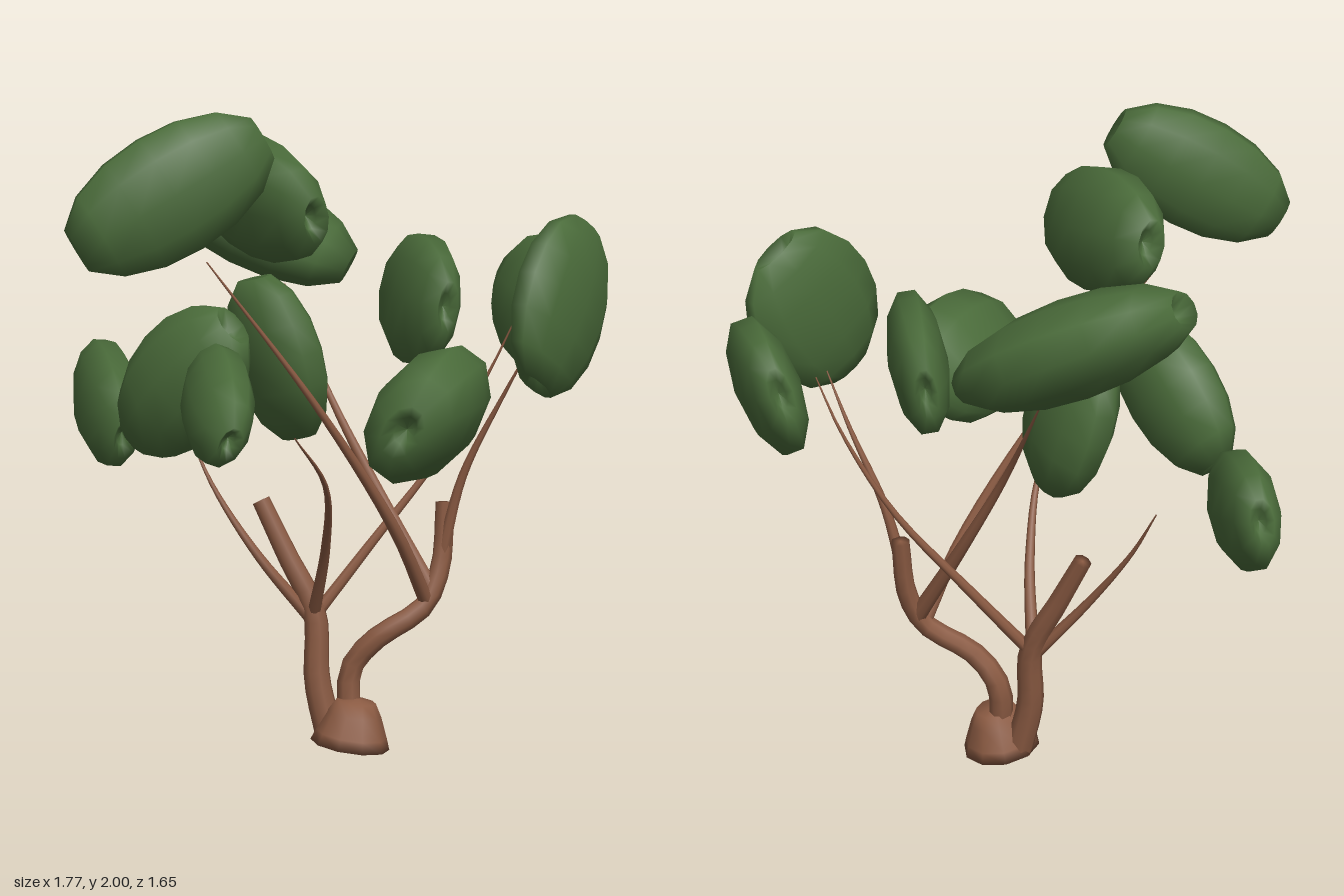
import * as THREE from 'three';

const bark = new THREE.MeshStandardMaterial({ name: 'bark brown', color: 0x8a5a42 });
const leaf = new THREE.MeshStandardMaterial({ name: 'leaf green', color: 0x4a6b3a });
const V = (p) => new THREE.Vector3(...p);

// Tapered tube along a smooth path; a blunt tube gets a flat sawn end
function limb(name, points, r0, r1, blunt = false) {
  const curve = new THREE.CatmullRomCurve3(points.map(V));
  const rows = 16, sides = 8;
  const geo = new THREE.TubeGeometry(curve, rows, 1, sides);
  const pos = geo.attributes.position, normal = geo.attributes.normal;
  const end = curve.getPointAt(1), endDir = curve.getTangentAt(1);
  const v = new THREE.Vector3(), n = new THREE.Vector3();
  for (let i = 0; i <= rows; i++) {
    const t = blunt ? Math.min(1, i / (rows - 1)) : i / rows;
    const centre = curve.getPointAt(t);
    const radius = blunt && i === rows ? 0 : r0 + (r1 - r0) * t;
    for (let j = 0; j <= sides; j++) {
      const k = i * (sides + 1) + j;
      n.fromBufferAttribute(normal, k);
      v.copy(i === rows ? end : centre).addScaledVector(n, radius);
      pos.setXYZ(k, v.x, v.y, v.z);
      if (blunt && i === rows) normal.setXYZ(k, endDir.x, endDir.y, endDir.z);
    }
  }
  const mesh = new THREE.Mesh(geo, bark);
  mesh.name = name;
  return mesh;
}

// Leaf clump: a rounded body dimpled at both ends, axis along y
const half = [[0, 0.8], [0.2, 0.87], [0.38, 0.99], [0.74, 0.74], [0.95, 0.38]];
const profile = [
  ...half.map(([r, y]) => new THREE.Vector2(r, -y)),
  new THREE.Vector2(1.01, 0),
  ...half.slice().reverse().map(([r, y]) => new THREE.Vector2(r, y)),
];
const clumpGeometry = new THREE.LatheGeometry(profile, 10);

// Each clump: centre, long axis, thin axis, half sizes (width, length, thickness)
const clumps = [
  [[-0.60, 1.785, 0.435], [0.86, 0.5, 0.05], [-0.08, 0.03, 1], [0.18, 0.305, 0.103]],
  [[-0.245, 1.75, 0.055], [0.305, -0.17, 0.94], [0.93, 0.2, -0.27], [0.19, 0.32, 0.112]],
  [[-0.07, 1.635, -0.585], [0.81, -0.44, 0.38], [0.25, 0.85, 0.46], [0.225, 0.35, 0.14]],
  [[0.32, 1.41, -0.085], [0.02, 0, 1], [0.99, -0.12, 0], [0.21, 0.25, 0.088]],
  [[0.765, 1.38, -0.14], [0.15, -0.28, 0.95], [0.95, -0.25, -0.2], [0.215, 0.258, 0.09]],
  [[0.61, 1.425, 0.35], [0.42, 0.85, -0.31], [0.59, 0, 0.81], [0.232, 0.265, 0.088]],
  [[0.115, 1.155, 0.565], [0.57, 0.04, -0.82], [0.69, -0.56, 0.45], [0.215, 0.275, 0.145]],
  [[-0.13, 1.24, -0.12], [-0.25, 0.95, -0.1], [0.92, 0.22, -0.3], [0.21, 0.257, 0.108]],
  [[-0.475, 1.205, 0.07], [0.42, 0.69, 0.58], [-0.83, 0.055, 0.537], [0.185, 0.265, 0.125]],
  [[-0.50, 1.21, 0.55], [-0.12, -0.28, 0.95], [0.92, -0.35, 0], [0.14, 0.265, 0.085]],
  [[-0.585, 1.07, -0.49], [0, -0.31, 0.95], [0.99, -0.1, 0], [0.18, 0.266, 0.093]],
];

function clump([centre, long, thin, size], i) {
  const y = V(long).normalize();
  const x = y.clone().cross(V(thin)).normalize();
  const z = x.clone().cross(y);
  const mesh = new THREE.Mesh(clumpGeometry, leaf);
  mesh.name = `leafClump${i + 1}`;
  mesh.position.set(...centre);
  mesh.quaternion.setFromRotationMatrix(new THREE.Matrix4().makeBasis(x, y, z));
  mesh.scale.set(...size);
  return mesh;
}

export function createModel() {
  const tree = new THREE.Group();
  tree.name = 'tree';

  // Flared, slightly tilted root base
  const foot = [[0, 0.035], [0.125, 0.02], [0.112, 0.055], [0.085, 0.12], [0.062, 0.16], [0, 0.17]];
  const base = new THREE.Mesh(
    new THREE.LatheGeometry(foot.map(([r, y]) => new THREE.Vector2(r, y)), 10), bark);
  base.name = 'rootBase';
  base.position.set(0.065, 0.005, 0.003);
  base.rotation.z = -0.15;
  tree.add(base);

  // Two trunks with sawn ends
  tree.add(
    limb('leftTrunk', [[0.02, 0.04, -0.05], [-0.015, 0.22, -0.075], [-0.015, 0.43, -0.1],
      [-0.09, 0.61, -0.15], [-0.16, 0.78, -0.2]], 0.047, 0.029, true),
    limb('rightTrunk', [[0.075, 0.05, -0.01], [0.08, 0.26, -0.025], [0.15, 0.36, 0.01],
      [0.3, 0.46, 0.035], [0.36, 0.58, 0.02], [0.38, 0.78, 0]], 0.04, 0.029, true),
  );

  // Thin branches tapering to a point
  const branches = [
    [0.022, [[-0.015, 0.4, -0.1], [-0.18, 0.61, -0.16], [-0.3, 0.82, -0.25], [-0.36, 0.99, -0.33]]],
    [0.022, [[-0.02, 0.42, -0.1], [-0.03, 0.67, 0.06], [-0.09, 0.9, 0.25], [-0.235, 1.08, 0.41]]],
    [0.021, [[-0.015, 0.42, -0.1], [0.17, 0.64, -0.1], [0.4, 0.92, -0.09], [0.55, 1.18, -0.06], [0.62, 1.35, -0.02]]],
    [0.024, [[0.31, 0.47, 0.035], [0.17, 0.73, 0.13], [-0.1, 1.13, 0.2], [-0.43, 1.57, 0.18]]],
    [0.028, [[0.33, 0.5, 0.03], [0.2, 0.8, -0.11], [0.08, 1.1, -0.25], [0, 1.43, -0.47]]],
    [0.022, [[0.36, 0.6, 0.02], [0.42, 0.87, 0.05], [0.52, 1.12, 0.12], [0.58, 1.28, 0.19]]],
  ];
  branches.forEach(([r, path], i) => tree.add(limb(`branch${i + 1}`, path, r, 0.002)));

  clumps.forEach((c, i) => tree.add(clump(c, i)));
  return tree;
}
